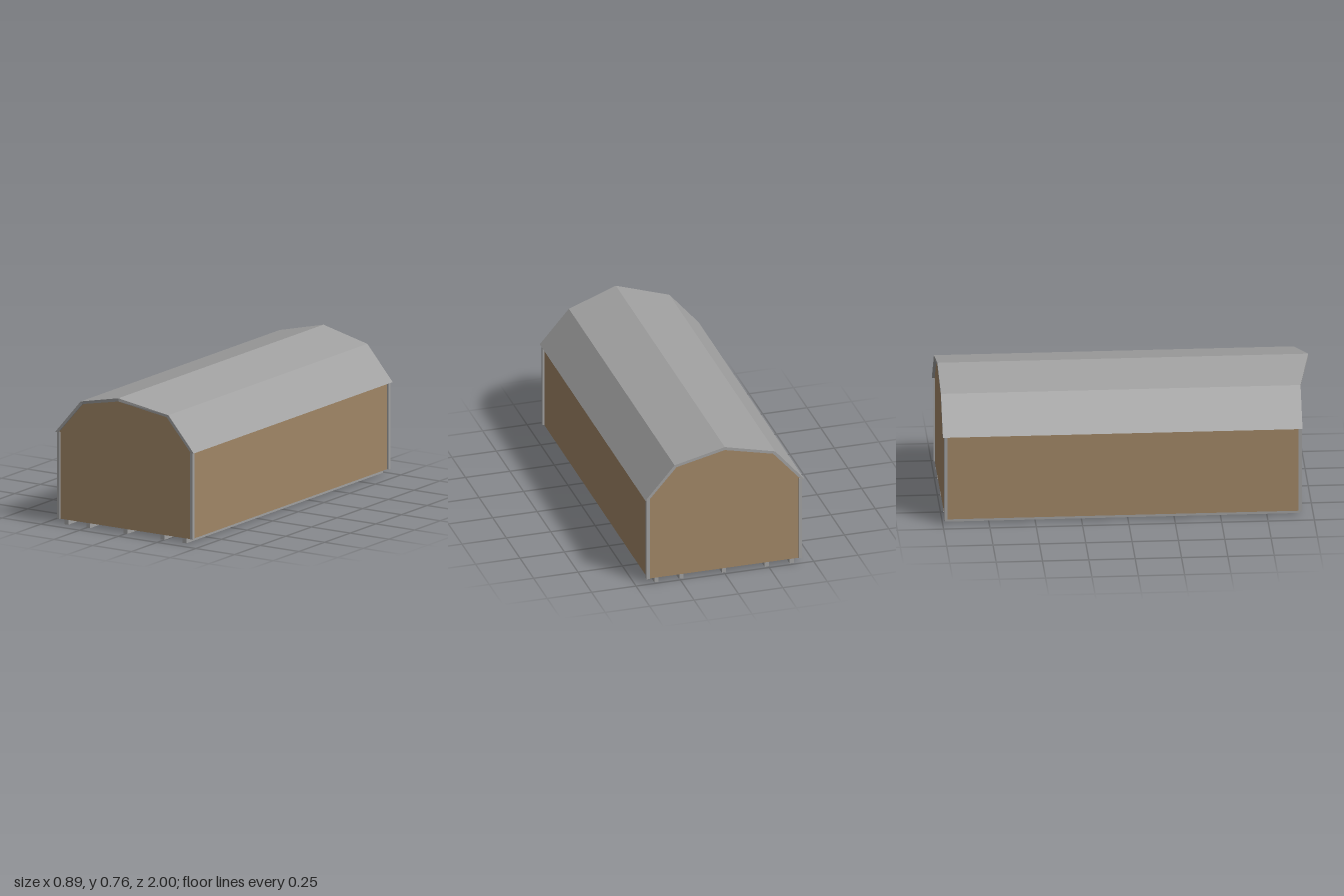
import * as THREE from 'three';

const FRONT = 0.937, BACK = -0.992; // outer planes of the corner trim
const BASE = 0.027;                 // underside of the walls

// Closed shape from half-profiles mirrored about x = 0
function mirrored(half) {
  const left = half.filter(([x]) => x > 0).reverse().map(([x, y]) => [-x, y]);
  return [...left, ...half].map(([x, y]) => new THREE.Vector2(x, y));
}

function slab(points, z0, z1) {
  const geo = new THREE.ExtrudeGeometry(new THREE.Shape(points), { depth: z1 - z0, bevelEnabled: false });
  return geo.translate(0, 0, z0);
}

export function createModel() {
  const model = new THREE.Group();
  model.name = 'barnShed';
  const siding = new THREE.MeshStandardMaterial({ color: 0xa08666 });
  siding.name = 'tan siding';
  const metal = new THREE.MeshStandardMaterial({ color: 0xa0a0a0 });
  metal.name = 'grey trim';

  const add = (name, geo, mat) => {
    const mesh = new THREE.Mesh(geo, mat);
    mesh.name = name;
    model.add(mesh);
    return mesh;
  };
  const box = (name, x0, x1, y0, y1, z0, z1, mat) => {
    const mesh = add(name, new THREE.BoxGeometry(x1 - x0, y1 - y0, z1 - z0), mat);
    mesh.position.set((x0 + x1) / 2, (y0 + y1) / 2, (z0 + z1) / 2);
  };

  // Gambrel profiles, from the ridge down to the eave
  const roofTop = [[0, 0.765], [0.283, 0.697], [0.447, 0.507]];
  const roofUnder = [[0, 0.747], [0.272, 0.684], [0.428, 0.507]];
  const ceiling = [[0, 0.742], [0.269, 0.679], [0.423, 0.505]];

  // Roof, with the front overhang drawn out to a point at the ridge
  const roofGeo = slab([...mirrored(roofTop), ...mirrored(roofUnder).reverse()], -1, 1);
  const pos = roofGeo.attributes.position;
  for (let i = 0; i < pos.count; i++) {
    if (pos.getZ(i) > 0 && Math.abs(pos.getX(i)) > 0.01) pos.setZ(i, 0.94);
  }
  roofGeo.computeVertexNormals();
  add('roof', roofGeo, metal);

  // Side walls and ceiling as one thin shell, open underneath
  const outer = mirrored([...roofUnder, [0.428, BASE]]);
  const inner = mirrored([...ceiling, [0.423, BASE]]).reverse();
  add('wallsAndCeiling', slab([...outer, ...inner], BACK + 0.01, FRONT - 0.01), siding);

  // Gable end walls
  add('frontWall', slab(outer, FRONT - 0.013, FRONT - 0.006), siding);
  add('backWall', slab(outer, BACK + 0.006, BACK + 0.013), siding);

  // Vertical corner trim
  for (const s of [-1, 1]) {
    const [x0, x1] = s > 0 ? [0.42, 0.438] : [-0.438, -0.42];
    box('frontCornerTrim', x0, x1, BASE, 0.508, FRONT - 0.018, FRONT, metal);
    box('backCornerTrim', x0, x1, BASE, 0.508, BACK, BACK + 0.018, metal);
  }

  // Skids running the full length beneath the walls
  for (const x of [-0.381, -0.24, 0, 0.24, 0.381]) {
    box('skid', x - 0.012, x + 0.012, 0, BASE, BACK + 0.006, FRONT - 0.006, metal);
  }
  return model;
}
